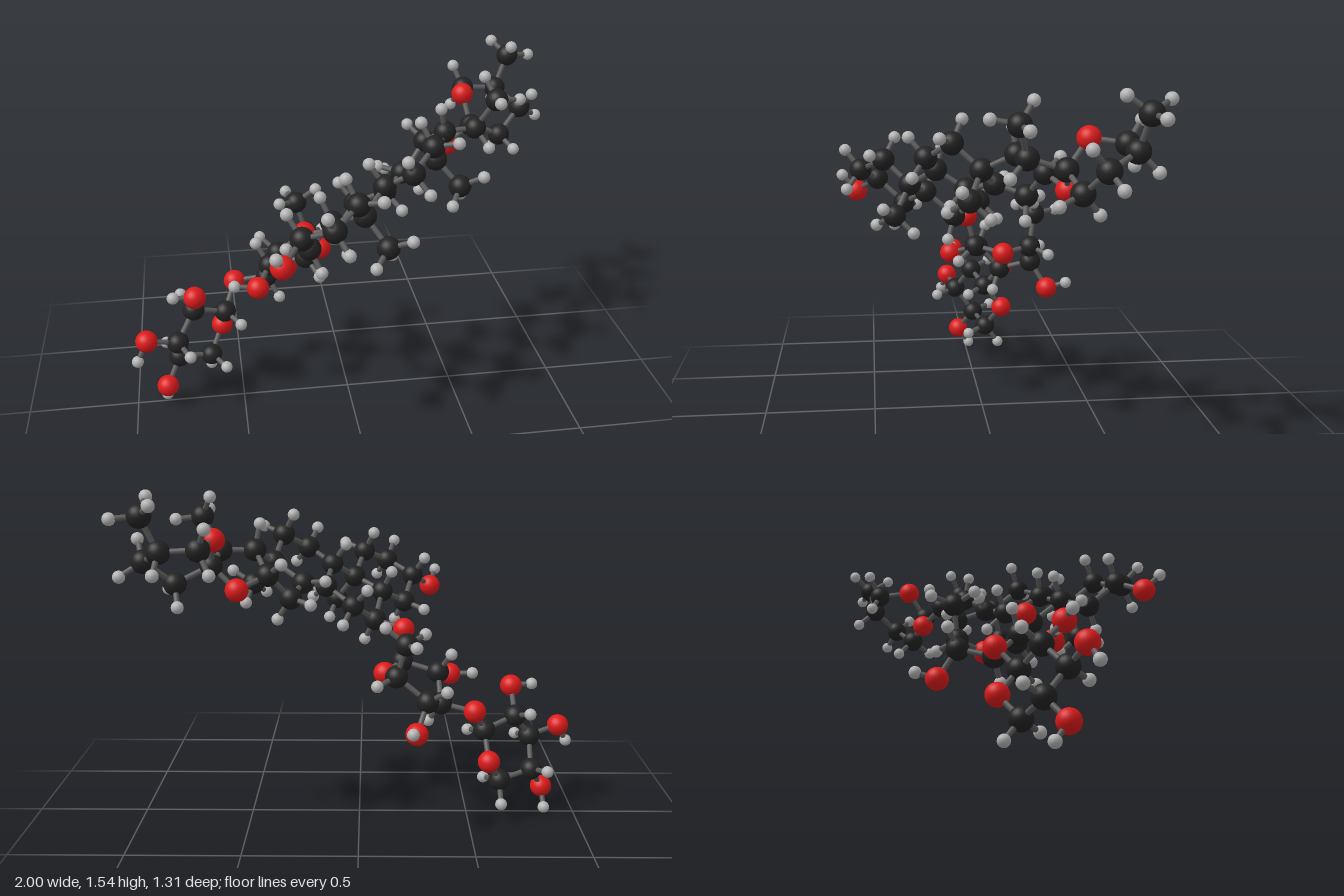
import * as THREE from 'three';

// Heavy atoms (name starts with the element letter), grouped by part of the molecule
const PARTS = {
  fusedRings: {
    C1: [-0.02, 1.168, 0.437], C2: [-0.13, 1.108, 0.539], C3: [-0.254, 1.046, 0.464],
    C4: [-0.211, 0.938, 0.343], C5: [-0.104, 1.007, 0.248], C6: [-0.071, 0.897, 0.12],
    C7: [0.029, 0.983, 0.018], C8: [0.152, 1.06, 0.087], C9: [0.127, 1.143, 0.214],
    C10: [0.025, 1.063, 0.324], C11: [0.24, 1.212, 0.263], C12: [0.346, 1.286, 0.16],
    C13: [0.384, 1.18, 0.042], C14: [0.249, 1.097, -0.028], C15: [0.296, 1.053, -0.157],
    C16: [0.389, 1.164, -0.22], C17: [0.453, 1.253, -0.092], C18: [0.484, 1.07, 0.1],
    C19: [0.114, 0.942, 0.394], O3: [-0.344, 0.975, 0.562], O6: [-0.201, 0.868, 0.053],
  },
  spiroRings: {
    C20: [0.597, 1.256, -0.115], C21: [0.678, 1.397, -0.073], C22: [0.618, 1.212, -0.268],
    C23: [0.767, 1.143, -0.305], C24: [0.882, 1.247, -0.378], C25: [0.792, 1.306, -0.507],
    C26: [0.634, 1.315, -0.503], C27: [0.854, 1.454, -0.537],
    O16: [0.512, 1.112, -0.292], O22: [0.595, 1.333, -0.358],
  },
  innerSugar: {
    C1: [-0.193, 0.727, 0.014], C2: [-0.356, 0.685, -0.016], C3: [-0.365, 0.569, -0.125],
    C4: [-0.298, 0.618, -0.265], C5: [-0.163, 0.724, -0.242], C6: [-0.205, 0.872, -0.267],
    O5: [-0.113, 0.704, -0.11], O2: [-0.419, 0.641, 0.114], O4: [-0.25, 0.495, -0.34],
    O3: [-0.514, 0.54, -0.155],
  },
  outerSugar: {
    C1: [-0.567, 0.428, -0.07], C2: [-0.711, 0.479, -0.016], C3: [-0.791, 0.358, 0.062],
    C4: [-0.791, 0.226, -0.033], C5: [-0.642, 0.191, -0.082], O5: [-0.583, 0.306, -0.16],
    O2: [-0.701, 0.595, 0.08], O3: [-0.929, 0.397, 0.096], O4: [-0.853, 0.114, 0.041],
  },
};

// Hydrogens on the hydroxyl oxygens
const HYDROXYL = {
  fusedRings: { O3: [-0.372, 1.045, 0.629] },
  innerSugar: { O2: [-0.523, 0.648, 0.1], O4: [-0.231, 0.523, -0.43] },
  outerSugar: { O2: [-0.797, 0.602, 0.085], O3: [-0.974, 0.312, 0.126], O4: [-0.861, 0.03, -0.015] },
};

const BOND_LIMIT = 0.2, CH = 0.115, BOND_RADIUS = 0.012;
const NAMES = { C: 'carbonAtom', O: 'oxygenAtom', H: 'hydrogenAtom' };
const mat = (color) => new THREE.MeshStandardMaterial({ color });

// Directions of the hydrogens that complete a tetrahedral carbon
function hydrogenDirections(atom) {
  const dirs = atom.links.map((n) => n.p.clone().sub(atom.p).normalize());
  if (dirs.length === 3) {
    return [dirs[0].clone().add(dirs[1]).add(dirs[2]).negate().normalize()];
  }
  if (dirs.length === 2) {
    const mid = dirs[0].clone().add(dirs[1]).negate().normalize();
    const side = dirs[0].clone().cross(dirs[1]).normalize();
    return [1, -1].map((s) => mid.clone().multiplyScalar(0.577).addScaledVector(side, 0.816 * s));
  }
  if (dirs.length === 1) {
    // Methyl group, staggered against the neighbour's other bonds
    const axis = dirs[0].clone().negate();
    const neighbour = atom.links[0];
    const other = neighbour.links.find((n) => n !== atom);
    const across = other.p.clone().sub(neighbour.p).projectOnPlane(axis).normalize().negate();
    return [0, 1, 2].map((k) => across.clone().applyAxisAngle(axis, (k * Math.PI * 2) / 3)
      .multiplyScalar(0.943).addScaledVector(axis, 0.333));
  }
  return [];
}

export function createModel() {
  const model = new THREE.Group();
  model.name = 'molecule';
  const ball = (r, w, h) => new THREE.SphereGeometry(r, w, h);
  const balls = { C: ball(0.05, 24, 16), O: ball(0.05, 24, 16), H: ball(0.027, 16, 12) };
  const mats = { C: mat(0x222222), O: mat(0xdd1a1a), H: mat(0xb4b4b4) };
  const rod = new THREE.CylinderGeometry(BOND_RADIUS, BOND_RADIUS, 1, 10, 1, true);
  const rodMat = mat(0x5a5a5a);
  const up = new THREE.Vector3(0, 1, 0);

  const addAtom = (group, element, p) => {
    const mesh = new THREE.Mesh(balls[element], mats[element]);
    mesh.name = NAMES[element];
    mesh.position.copy(p);
    group.add(mesh);
  };
  const addBond = (group, a, b) => {
    const d = b.clone().sub(a);
    const mesh = new THREE.Mesh(rod, rodMat);
    mesh.name = 'bond';
    mesh.position.copy(a).addScaledVector(d, 0.5);
    mesh.scale.y = d.length();
    mesh.quaternion.setFromUnitVectors(up, d.normalize());
    group.add(mesh);
  };
  const addHydrogen = (atom, p) => {
    addAtom(atom.group, 'H', p);
    addBond(atom.group, atom.p, p);
  };

  // Heavy atoms
  const atoms = [];
  for (const [part, table] of Object.entries(PARTS)) {
    const group = new THREE.Group();
    group.name = part;
    model.add(group);
    for (const [key, xyz] of Object.entries(table)) {
      const atom = { part, key, group, element: key[0], p: new THREE.Vector3(...xyz), links: [] };
      atoms.push(atom);
      addAtom(group, atom.element, atom.p);
    }
  }

  // Bonds join every close pair
  atoms.forEach((a, i) => atoms.slice(i + 1).forEach((b) => {
    if (a.p.distanceTo(b.p) > BOND_LIMIT) return;
    a.links.push(b);
    b.links.push(a);
    addBond(a.group, a.p, b.p);
  }));

  // Hydrogens
  for (const atom of atoms) {
    if (atom.element === 'C') {
      hydrogenDirections(atom).forEach((d) => addHydrogen(atom, atom.p.clone().addScaledVector(d, CH)));
    } else {
      const h = HYDROXYL[atom.part]?.[atom.key];
      if (h) addHydrogen(atom, new THREE.Vector3(...h));
    }
  }
  return model;
}
